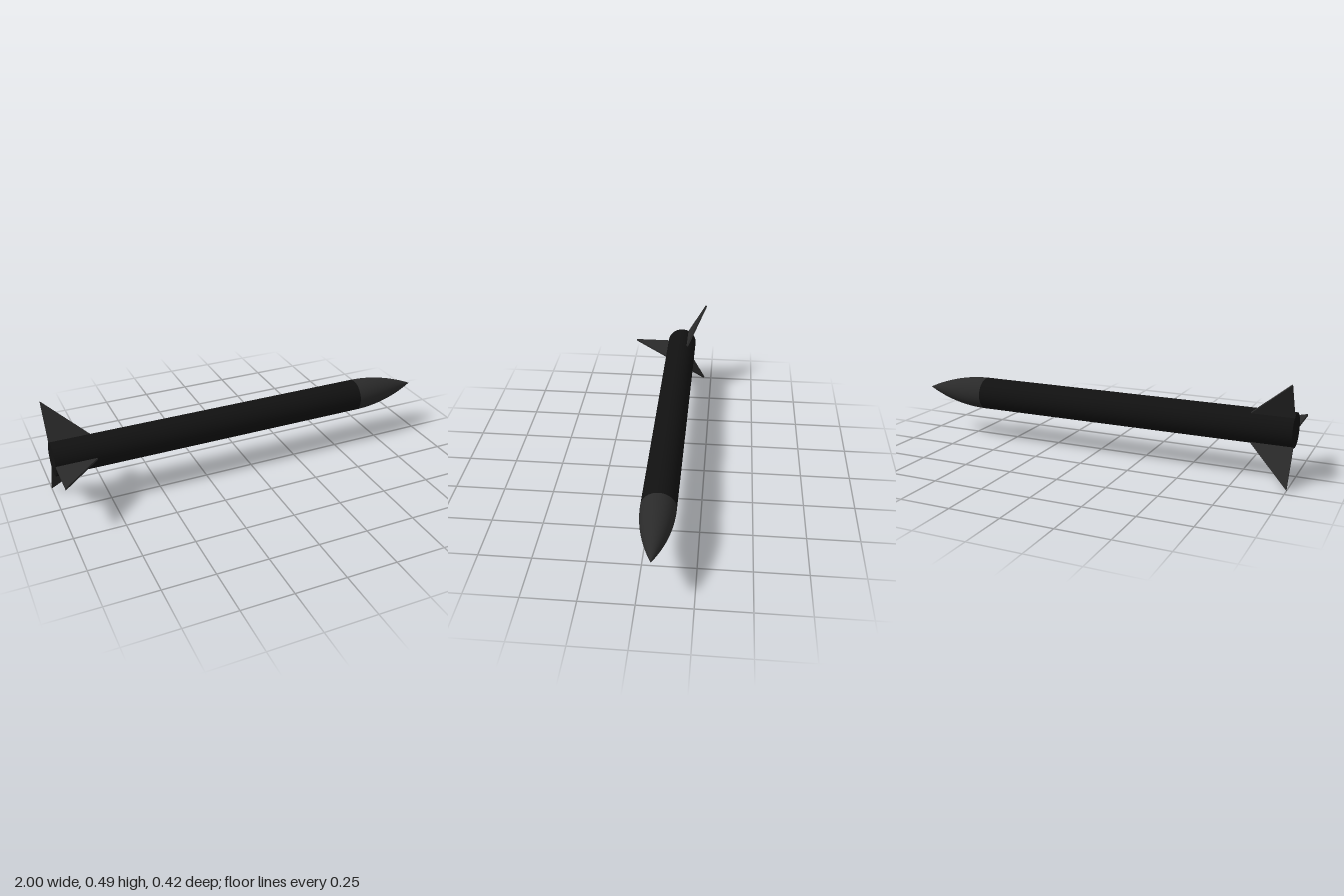
import * as THREE from 'three';

const RADIUS = 0.082, AXIS_Y = 0.245, AXIS_Z = -0.067;
const TAIL = -1, SHOULDER = 0.64, TIP = 1;

function part(name, geometry, color) {
  const mesh = new THREE.Mesh(geometry, new THREE.MeshStandardMaterial({ color }));
  mesh.name = name;
  return mesh;
}

export function createModel() {
  const rocket = new THREE.Group();
  rocket.name = 'rocket';
  rocket.position.set(0, AXIS_Y, AXIS_Z);

  // Body tube, closed at the tail
  const tube = new THREE.CylinderGeometry(RADIUS, RADIUS, SHOULDER - TAIL, 64);
  tube.rotateZ(-Math.PI / 2).translate((SHOULDER + TAIL) / 2, 0, 0);
  rocket.add(part('bodyTube', tube, 0x111111));

  // Nose cone: a curve that leaves the tube tangentially and ends in a point
  const profile = new THREE.QuadraticBezierCurve(
    new THREE.Vector2(RADIUS, SHOULDER),
    new THREE.Vector2(RADIUS, (SHOULDER + TIP) / 2),
    new THREE.Vector2(0, TIP)
  );
  const nose = new THREE.LatheGeometry(profile.getPoints(24), 64);
  nose.rotateZ(-Math.PI / 2);
  rocket.add(part('noseCone', nose, 0x2a2a2a));

  // Three thin triangular fins, rooted just inside the tube
  const thickness = 0.01, root = 0.078;
  const outline = new THREE.Shape([
    new THREE.Vector2(TAIL, root),
    new THREE.Vector2(-0.8, root),
    new THREE.Vector2(-0.8, RADIUS),
    new THREE.Vector2(TAIL, 0.28)
  ]);
  const finGeometry = new THREE.ExtrudeGeometry(outline, { depth: thickness, bevelEnabled: false });
  finGeometry.translate(0, 0, -thickness / 2);
  for (let i = 0; i < 3; i++) {
    const fin = part('fin' + (i + 1), finGeometry, 0x2a2a2a);
    fin.rotation.x = Math.PI / 2 + (i * 2 * Math.PI) / 3;
    rocket.add(fin);
  }

  const model = new THREE.Group();
  model.name = 'model';
  model.add(rocket);
  return model;
}
